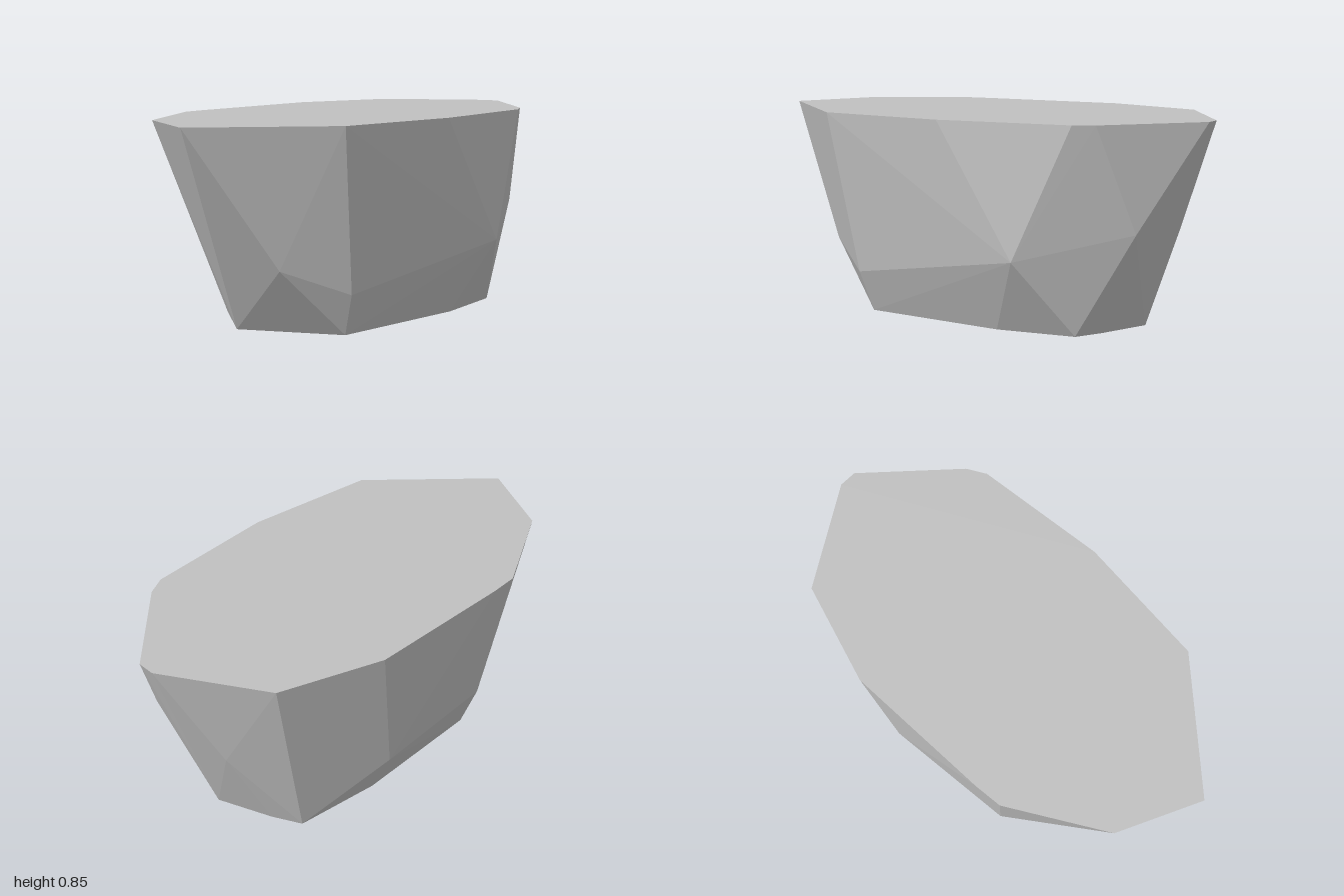
import * as THREE from 'three';
import { ConvexGeometry } from 'three/addons/geometries/ConvexGeometry.js';

// Flat-topped faceted boulder: the hull of a wide rim, a waist and a narrow base
export function createModel() {
  const group = new THREE.Group();
  group.name = 'boulder';

  const stoneGrey = new THREE.MeshStandardMaterial({ color: 0xc0c0c0 });
  stoneGrey.name = 'stoneGrey';

  // flat ring of [x, z] corners at one height
  const ring = (y, corners) => corners.map(([x, z]) => new THREE.Vector3(x, y, z));

  const rim = ring(0.85, [
    [-1, 0.06], [-0.84, -0.28], [-0.45, -0.51], [-0.33, -0.52], [0.31, -0.535], [0.74, -0.4],
    [1, 0.01], [1, 0.085], [0.68, 0.43], [0.6, 0.475], [0.03, 0.53], [-0.54, 0.475],
  ]);

  const base = ring(0, [
    [-0.61, -0.05], [-0.4, -0.32], [0.19, -0.355], [0.56, -0.32], [0.625, -0.2],
    [0.72, 0.03], [0.625, 0.24], [0.56, 0.35], [0.23, 0.395], [-0.4, 0.35],
  ]);

  // uneven bulges between base and rim
  const waist = [
    [-0.66, 0.28, 0.24], [-0.43, 0.175, 0.41], [0.37, 0.31, 0.533], [0.795, 0.42, 0.302],
    [0.795, 0.38, -0.14], [0.21, 0.24, -0.475], [-0.37, 0.25, -0.43],
  ].map((p) => new THREE.Vector3(...p));

  const stone = new THREE.Mesh(new ConvexGeometry([...rim, ...waist, ...base]), stoneGrey);
  stone.name = 'stone';
  group.add(stone);
  return group;
}
